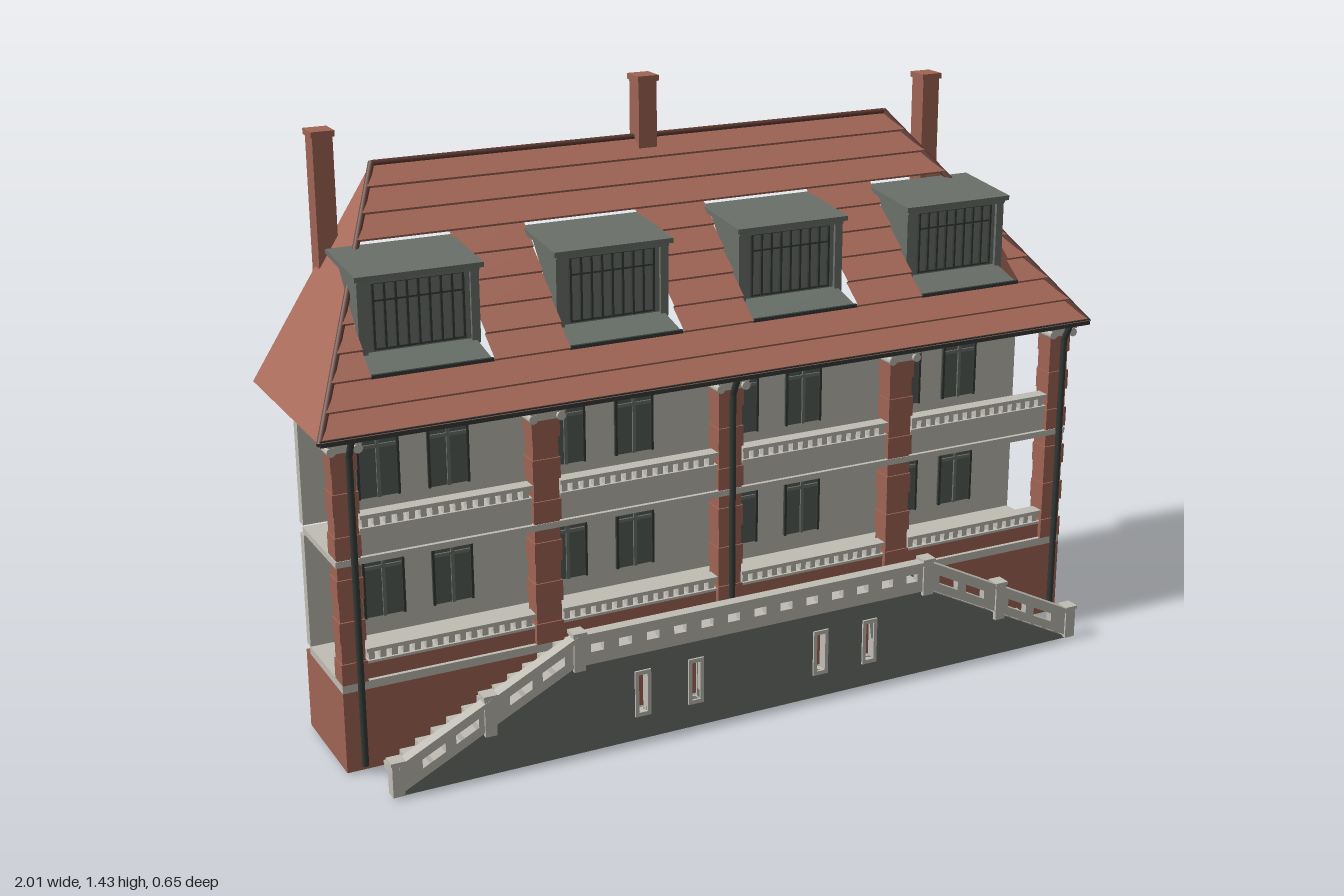
import * as THREE from 'three';

const mat = (name, color, double) => {
  const m = new THREE.MeshStandardMaterial({ color });
  m.name = name;
  if (double) m.side = THREE.DoubleSide;
  return m;
};

export function createModel() {
  const house = new THREE.Group();
  house.name = 'house';
  const stone = mat('stone', 0xc0bdb4);
  const brick = mat('brick', 0xa06554);
  const tile = mat('roofTile', 0xa86b5a, true);
  const grey = mat('grey', 0x6a706a, true);
  const glass = mat('glass', 0x565d57);
  const dark = mat('darkMetal', 0x343a36);
  const ridge = mat('ridgeTile', 0x5e3a32);

  const add = (name, geo, m, parent = house) => {
    const mesh = new THREE.Mesh(geo, m);
    mesh.name = name;
    parent.add(mesh);
    return mesh;
  };
  const group = (name) => {
    const g = new THREE.Group();
    g.name = name;
    house.add(g);
    return g;
  };
  // Box given by its extents
  const box = (name, m, x0, x1, y0, y1, z0, z1, parent) => {
    const g = new THREE.BoxGeometry(x1 - x0, y1 - y0, z1 - z0);
    g.translate((x0 + x1) / 2, (y0 + y1) / 2, (z0 + z1) / 2);
    return add(name, g, m, parent);
  };
  // Round bar between two points
  const rod = (name, m, a, b, r, parent) => {
    const p = new THREE.Vector3(...a), q = new THREE.Vector3(...b);
    const d = q.clone().sub(p);
    const mesh = add(name, new THREE.CylinderGeometry(r, r, d.length(), 8), m, parent);
    mesh.position.copy(p).add(q).multiplyScalar(0.5);
    mesh.quaternion.setFromUnitVectors(new THREE.Vector3(0, 1, 0), d.normalize());
  };
  // Flat-faced surface from four-cornered faces
  const quads = (list) => {
    const pos = [];
    for (const [a, b, c, d] of list) pos.push(...a, ...b, ...c, ...a, ...c, ...d);
    const g = new THREE.BufferGeometry();
    g.setAttribute('position', new THREE.Float32BufferAttribute(pos, 3));
    g.computeVertexNormals();
    return g;
  };
  // Upright plate from an outline with holes
  const plate = (name, m, outline, holes, z0, z1, parent) => {
    const toPts = (l) => l.map(([x, y]) => new THREE.Vector2(x, y));
    const s = new THREE.Shape(toPts(outline));
    s.holes = holes.map((h) => new THREE.Path(toPts(h)));
    const g = new THREE.ExtrudeGeometry(s, { depth: z1 - z0, bevelEnabled: false });
    return add(name, g.translate(0, 0, z0), m, parent);
  };
  const rect = (x0, x1, y0, y1) => [[x0, y0], [x1, y0], [x1, y1], [x0, y1]];

  // Base, floors and back walls
  box('base', brick, -0.97, 0.97, 0.005, 0.2, -0.1, 0.165);
  box('lowerFloor', stone, -0.97, 0.97, 0.2, 0.22, -0.07, 0.165);
  box('upperFloor', stone, -0.97, 0.97, 0.5, 0.515, -0.07, 0.165);
  box('lowerWall', stone, -0.97, 0.97, 0.22, 0.495, -0.09, -0.065);
  box('upperWall', stone, -0.97, 0.97, 0.52, 0.79, -0.09, -0.065);

  // Windows with crossed bars
  for (const y of [0.265, 0.56])
    for (const s of [-1, 1])
      for (const c of [0.145, 0.325, 0.62, 0.79]) {
        const w = group('window'), x = s * c;
        box('pane', glass, x - 0.05, x + 0.05, y, y + 0.193, -0.1, -0.06, w);
        box('crossbar', grey, x - 0.05, x + 0.05, y + 0.12, y + 0.128, -0.06, -0.055, w);
        box('upright', grey, x - 0.004, x + 0.004, y, y + 0.193, -0.06, -0.055, w);
        for (const e of [-1, 1])
          box('jamb', dark, x + e * 0.048 - 0.003, x + e * 0.048 + 0.003, y, y + 0.193, -0.06, -0.054, w);
      }

  // Columns in courses, with scrolled capitals
  const columns = [[-0.94, 0.06], [-0.47, 0.068], [0, 0.066], [0.47, 0.068], [0.94, 0.06]];
  for (const [x, w] of columns) {
    const c = group('column');
    for (let i = 0; i < 11; i++) {
      const h = w / 2 - (i % 2 ? 0.003 : 0), y = 0.22 + i * 0.05;
      box('course', brick, x - h, x + h, y, y + 0.05, 0.115, i % 2 ? 0.163 : 0.167, c);
    }
    const h = w / 2;
    box('capital', stone, x - h, x + h, 0.765, 0.785, 0.112, 0.172, c);
    box('abacus', stone, x - h - 0.008, x + h + 0.008, 0.783, 0.795, 0.108, 0.182, c);
    for (const e of [-1, 1])
      rod('scroll', stone, [x + e * h, 0.772, 0.112], [x + e * h, 0.772, 0.18], 0.011, c);
  }

  // Loggia parapets with balusters
  const bays = [[-0.91, -0.504], [-0.436, -0.033], [0.033, 0.436], [0.504, 0.91]];
  for (const [y, m] of [[0.22, brick], [0.515, stone]])
    for (const [a, b] of bays) {
      const g = group('balustrade'), top = y === 0.22 ? 0.26 : 0.575;
      box('parapet', m, a, b, y, top, 0.135, 0.155, g);
      box('rail', stone, a, b, top + 0.028, top + 0.037, 0.13, 0.165, g);
      box('footRail', stone, a, b, top, top + 0.006, 0.13, 0.162, g);
      for (let i = 0; i < 15; i++) {
        const x = a + (i + 0.5) * (b - a) / 15;
        box('baluster', stone, x - 0.007, x + 0.007, top, top + 0.03, 0.138, 0.156, g);
      }
    }

  // Front slope in ten overlapping tile courses, open under the dormers
  const dormers = [-0.705, -0.235, 0.235, 0.705], N = 10, HW = 0.143;
  const at = (x, t, lift = 0) => [x, 0.8 + 0.48 * t + lift, 0.2 - 0.5 * t + lift];
  const half = (t) => 1 - 0.31 * t;
  const faces = [];
  for (let i = 0; i < N; i++) {
    const t0 = i / N, t1 = (i + 1) / N, w0 = half(t0), w1 = half(t1);
    const cuts = [-1];
    if (i >= 2 && i < 7) for (const d of dormers) cuts.push(d - HW, d + HW);
    cuts.push(1);
    for (let k = 0; k < cuts.length; k += 2) {
      const l = cuts[k], r = cuts[k + 1];
      const fit = (x, w) => Math.max(-w, Math.min(w, x));
      const a = fit(l, w0), b = fit(r, w0), c = fit(r, w1), d = fit(l, w1);
      if (b - a < 1e-4) continue;
      faces.push([at(a, t0, 0.006), at(b, t0, 0.006), at(c, t1), at(d, t1)]);
      faces.push([at(a, t0), at(b, t0), at(b, t0, 0.006), at(a, t0, 0.006)]);
    }
  }
  add('frontSlope', quads(faces), tile);

  // Hipped ends with ridge tiles
  for (const s of [-1, 1]) {
    const f = [s, 0.8, 0.2], b = [s, 0.8, -0.295], t = [s * 0.69, 1.28, -0.3];
    const g = new THREE.BufferGeometry();
    g.setAttribute('position', new THREE.Float32BufferAttribute([...f, ...(s > 0 ? [...b, ...t] : [...t, ...b])], 3));
    g.computeVertexNormals();
    add('hipEnd', g, tile);
    rod('hipRidge', ridge, f, t, 0.008);
  }
  rod('topRidge', ridge, [-0.69, 1.278, -0.298], [0.69, 1.278, -0.298], 0.008);
  box('gutter', dark, -1, 1, 0.795, 0.81, 0.188, 0.205);

  // Dormers with sloping lids, barred windows and sills
  for (const x of dormers) {
    const d = group('dormer'), w = 0.132;
    box('dormerFront', grey, x - w, x + w, 0.92, 1.1, 0.01, 0.02, d);
    for (const e of [-1, 1]) {
      const X = x + e * w;
      add('cheek', quads([[[X, 0.92, 0.02], [X, 0.92, 0.019], [X, 1.12, -0.145], [X, 1.1, 0.02]]]), grey, d);
      box('cornerPost', grey, X - 0.01, X + 0.01, 0.92, 1.1, 0.012, 0.028, d);
    }
    add('apron', quads([[[x - 0.143, 0.897, 0.1], [x + 0.143, 0.897, 0.1], [x + w, 0.93, 0.02], [x - w, 0.93, 0.02]]]), grey, d);
    box('apronLip', dark, x - 0.143, x + 0.143, 0.896, 0.904, 0.095, 0.103, d);
    const lid = add('lid', new THREE.BoxGeometry(0.3, 0.012, 0.195), grey, d);
    lid.position.set(x, 1.112, -0.058);
    lid.rotation.x = 0.105;
    box('cornice', grey, x - 0.142, x + 0.142, 1.088, 1.102, 0.015, 0.032, d);
    for (let i = 0; i <= 8; i++) {
      const bx = x - 0.105 + i * 0.02625;
      box('bar', dark, bx - 0.0025, bx + 0.0025, 0.935, 1.09, 0.02, 0.027, d);
    }
    for (const y of [0.935, 1.045, 1.085])
      box('crossbar', dark, x - 0.105, x + 0.105, y, y + 0.004, 0.02, 0.026, d);
  }

  // Chimneys
  for (const [x, y0, y1] of [[-0.813, 0.865, 1.37], [0, 1.25, 1.43], [0.813, 0.865, 1.37]]) {
    const c = group('chimney');
    box('stack', brick, x - 0.024, x + 0.024, y0, y1 - 0.008, -0.318, -0.266, c);
    box('cap', brick, x - 0.028, x + 0.028, y1 - 0.014, y1, -0.322, -0.262, c);
  }

  // Drainpipes
  for (const [x, y] of [[-0.93, 0.02], [0, 0.22], [0.945, 0.02]]) {
    const p = group('drainpipe');
    rod('pipe', dark, [x, y, 0.175], [x, 0.755, 0.175], 0.008, p);
    rod('elbow', dark, [x, 0.755, 0.175], [x, 0.8, 0.198], 0.008, p);
  }

  // Terrace with slit windows
  const slits = [-0.305, -0.168, 0.168, 0.305];
  plate('terraceWall', grey, rect(-0.465, 0.465, 0, 0.22), slits.map((x) => rect(x - 0.011, x + 0.011, 0.07, 0.165)), 0.295, 0.31);
  for (const x of slits)
    plate('slitFrame', stone, rect(x - 0.02, x + 0.02, 0.06, 0.175), [rect(x - 0.011, x + 0.011, 0.07, 0.165)], 0.29, 0.315);
  box('terraceDeck', stone, -0.465, 0.465, 0.2, 0.22, 0.165, 0.296);
  const slots = [];
  for (let i = -6; i <= 6; i++) slots.push(rect(i * 0.07 - 0.016, i * 0.07 + 0.016, 0.25, 0.27));
  plate('terraceRail', stone, rect(-0.465, 0.465, 0.22, 0.292), slots, 0.297, 0.316);
  box('terraceHandrail', stone, -0.465, 0.465, 0.288, 0.298, 0.293, 0.322);

  // Side stairs with sloping slotted rails and posts
  for (const s of [-1, 1]) {
    const g = group('stairs');
    const line = (x) => 0.22 * (0.905 - x) / 0.44;
    const band = (x0, x1, lo, hi) => [[s * x0, line(x0) + lo], [s * x1, line(x1) + lo], [s * x1, line(x1) + hi], [s * x0, line(x0) + hi]];
    plate('stairWall', grey, [[s * 0.465, 0], [s * 0.905, 0], [s * 0.465, 0.22]], [], 0.295, 0.31, g);
    plate('stairCore', grey, [[s * 0.465, 0], [s * 0.87, 0], [s * 0.465, 0.2]], [], 0.167, 0.295, g);
    for (let i = 0; i < 11; i++) {
      const x = s * (0.485 + i * 0.038), y = 0.2 - i * 0.0182;
      box('step', stone, x - 0.02, x + 0.02, Math.max(0, y - 0.02), y, 0.166, 0.296, g);
    }
    const holes = [0.5, 0.58, 0.71, 0.79].map((x) => band(x, x + 0.055, 0.028, 0.05));
    plate('stairRail', stone, band(0.465, 0.9, 0.005, 0.072), holes, 0.297, 0.316, g);
    plate('stairHandrail', stone, band(0.465, 0.9, 0.066, 0.078), [], 0.293, 0.322, g);
    for (const [x, y0, y1] of [[0.465, 0.21, 0.305], [0.683, 0.1, 0.2], [0.903, 0.005, 0.09]]) {
      box('post', stone, s * x - 0.014, s * x + 0.014, y0, y1, 0.291, 0.321, g);
      box('postCap', stone, s * x - 0.017, s * x + 0.017, y1 - 0.008, y1, 0.288, 0.324, g);
    }
  }
  return house;
}
